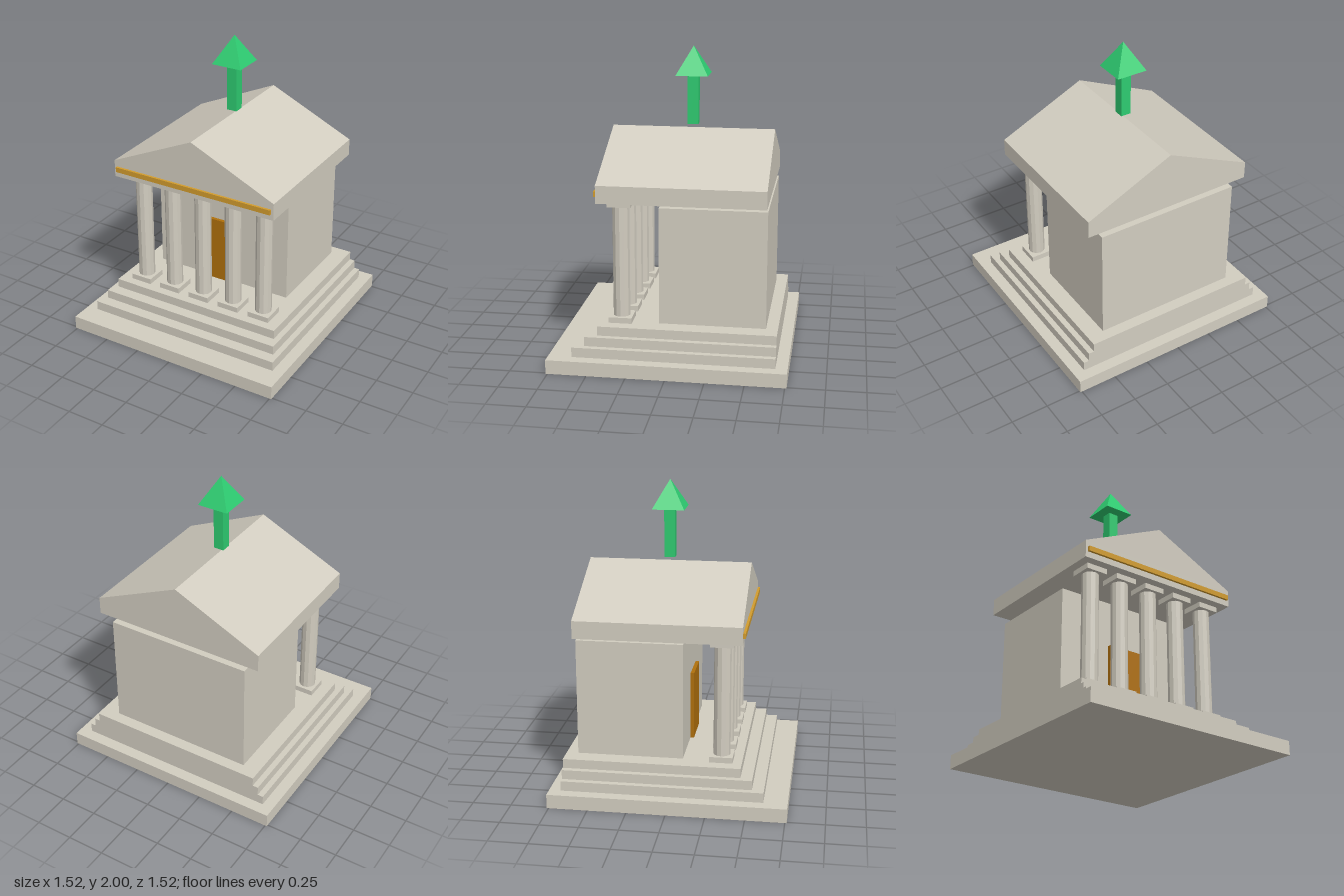
import * as THREE from 'three';

const material = (name, color) => {
  const m = new THREE.MeshStandardMaterial({ color });
  m.name = name;
  return m;
};

// Faceted copy of a geometry
const faceted = (geometry) => {
  const g = geometry.toNonIndexed();
  g.computeVertexNormals();
  return g;
};

export function createModel() {
  const stone = material('stone', 0xd2cdc0);
  const gold = material('gold trim', 0xd29c2e);
  const bronze = material('bronze door', 0xb0700c);
  const green = material('green marker', 0x2ecc71);

  const model = new THREE.Group();
  model.name = 'temple';

  const add = (name, geometry, mat, x = 0, y = 0, z = 0, parent = model) => {
    const mesh = new THREE.Mesh(geometry, mat);
    mesh.name = name;
    mesh.position.set(x, y, z);
    parent.add(mesh);
    return mesh;
  };
  // Box centred on x, given its y and z limits
  const block = (name, mat, width, y0, y1, z0, z1, parent = model) =>
    add(name, new THREE.BoxGeometry(width, y1 - y0, z1 - z0), mat,
      0, (y0 + y1) / 2, (z0 + z1) / 2, parent);

  // Base slab and three steps that share a back plane
  block('baseSlab', stone, 1.524, 0, 0.092, -0.762, 0.762);
  for (let i = 0; i < 3; i++) {
    const y = 0.096 + i * 0.061;
    block(`step${i + 1}`, stone, 1.372 - i * 0.076, y - 0.004, y + 0.06, -0.686, 0.61 - i * 0.076);
  }

  // Inner chamber and door
  block('chamber', stone, 0.99, 0.277, 1.042, -0.61, 0.076);
  block('door', bronze, 0.26, 0.277, 0.735, 0.07, 0.1);

  // Row of five columns with square plinths and capitals
  const shaft = faceted(new THREE.CylinderGeometry(0.055, 0.055, 0.732, 12));
  for (let i = -2; i <= 2; i++) {
    const column = new THREE.Group();
    column.name = `column${i + 3}`;
    column.position.set(i * 0.2286, 0, 0.324);
    block('plinth', stone, 0.15, 0.277, 0.315, -0.075, 0.075, column);
    add('shaft', shaft, stone, 0, 0.68, 0, column);
    block('capital', stone, 0.15, 1.045, 1.081, -0.075, 0.075, column);
    model.add(column);
  }

  // Entablature, gold band and gabled roof
  block('entablature', stone, 1.18, 1.081, 1.196, -0.61, 0.458);
  block('goldBand', gold, 1.144, 1.121, 1.155, 0.455, 0.474);
  const gable = new THREE.Shape([
    new THREE.Vector2(-0.59, 0),
    new THREE.Vector2(0.59, 0),
    new THREE.Vector2(0, 0.271),
  ]);
  add('gableRoof', new THREE.ExtrudeGeometry(gable, { depth: 1.068, bevelEnabled: false }),
    stone, 0, 1.196, -0.61);

  // Upward arrow floating above the ridge
  block('arrowShaft', green, 0.07, 1.493, 1.816, -0.111, -0.041);
  const tip = new THREE.ConeGeometry(0.105 * Math.SQRT2, 0.184, 4);
  tip.rotateY(Math.PI / 4);
  add('arrowHead', faceted(tip), green, 0, 1.908, -0.076);

  return model;
}
